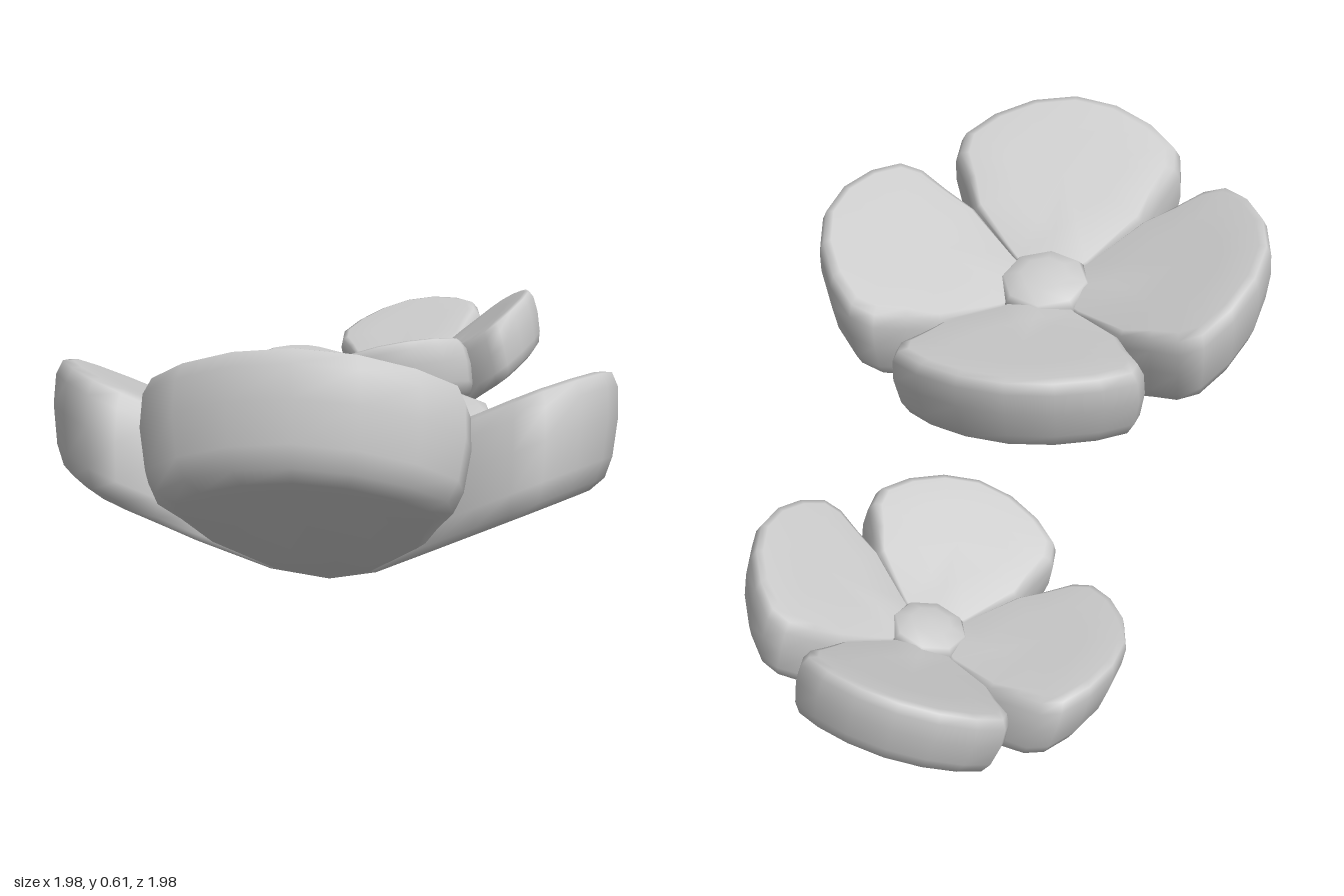
import * as THREE from 'three';

const material = new THREE.MeshStandardMaterial({ color: 0xcccccc });

// Half outline of a petal: distance from the flower's axis, half width
const half = [[0.1, 0.105], [0.24, 0.246], [0.33, 0.288], [0.41, 0.332], [0.475, 0.325], [0.545, 0.245], [0.6, 0.13]];
const outline = [[0, 0], ...half, [0.622, 0], ...half.map(([s, t]) => [s, -t]).reverse()];

// Stacked copies of the outline, from underside centre to upper centre: scale, share of thickness
const layers = [[0, 0], [0.5, 0], [0.78, 0], [0.9, 0.06], [0.96, 0.22], [1, 0.55], [0.99, 0.82], [0.94, 0.96], [0.86, 1], [0.5, 1], [0, 1]];

function petalGeometry() {
  const positions = [], index = [], n = outline.length, middle = 0.36, thickness = 0.25;
  layers.forEach(([scale, h], j) => {
    outline.forEach(([s, t], i) => {
      // rounded edges fade out toward the axis, where the petals join
      const k = scale > 0.5 ? 1 - (1 - scale) * Math.min(1, s / 0.4) : scale;
      const x = middle + (s - middle) * k;
      // the whole slab slopes upward away from the axis
      const underside = Math.max(0, 0.42 * (x - 0.06));
      positions.push(x, underside + h * thickness, t * k);
      if (j === 0) return;
      const i2 = (i + 1) % n, a = (j - 1) * n, b = j * n;
      if (j < layers.length - 1) index.push(a + i, b + i2, b + i);
      if (j > 1) index.push(a + i, a + i2, b + i2);
    });
  });
  const geometry = new THREE.BufferGeometry();
  geometry.setAttribute('position', new THREE.Float32BufferAttribute(positions, 3));
  geometry.setIndex(index);
  geometry.computeVertexNormals();
  return geometry;
}

// One flower: four joined petals and a low eight-sided button, leaning sideways
function flower(name, position, scale, leanX, leanZ) {
  const group = new THREE.Group();
  group.name = name;
  const petal = petalGeometry();
  for (let i = 0; i < 4; i++) {
    const mesh = new THREE.Mesh(petal, material);
    mesh.name = 'petal';
    mesh.rotation.y = Math.PI / 4 + i * Math.PI / 2;
    group.add(mesh);
  }
  const centre = new THREE.Mesh(new THREE.SphereGeometry(0.135, 8, 6).scale(1, 0.36, 1), material);
  centre.name = 'flowerCentre';
  centre.position.y = 0.265;
  group.add(centre);
  group.position.set(...position);
  group.scale.setScalar(scale);
  const axis = new THREE.Vector3(leanX, 1, leanZ).normalize();
  group.quaternion.setFromUnitVectors(new THREE.Vector3(0, 1, 0), axis);
  return group;
}

export function createModel() {
  const model = new THREE.Group();
  model.name = 'flowers';
  model.add(flower('largeFlower', [-0.478, 0.016, 0.49], 1, 0.18, -0.18));
  model.add(flower('smallFlower', [0.655, 0.014, -0.57], 0.67, -0.18, -0.18));
  return model;
}
